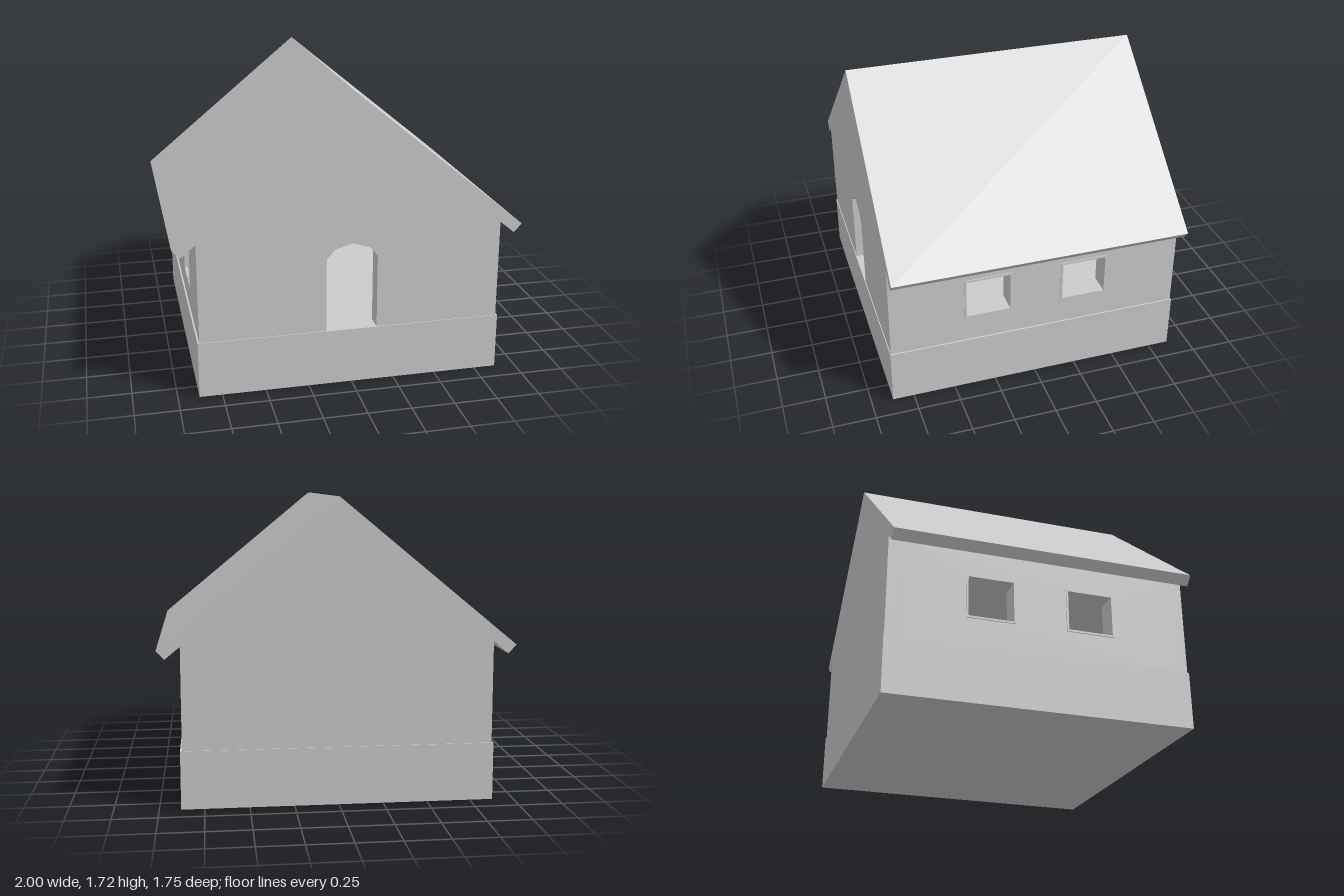
import * as THREE from 'three';

const BASE = 0.33, TOP = 0.91, HALF = 0.87;
const SIDE_T = 0.12, END_T = 0.1;

const poly = (pts, C = THREE.Shape) => new C(pts.map(([x, y]) => new THREE.Vector2(x, y)));
const rect = (x0, y0, x1, y1, C) => poly([[x0, y0], [x1, y0], [x1, y1], [x0, y1]], C);
const extrude = (shape, depth) => new THREE.ExtrudeGeometry(shape, { depth, bevelEnabled: false });

export function createModel() {
  const house = new THREE.Group();
  house.name = 'house';
  const material = new THREE.MeshStandardMaterial({ color: 0xcccccc, flatShading: true });
  const add = (name, geometry) => {
    const mesh = new THREE.Mesh(geometry, material);
    mesh.name = name;
    house.add(mesh);
  };

  // Solid plinth, its top is the floor
  add('plinth', new THREE.BoxGeometry(1.76, BASE, 1.75).translate(0, BASE / 2, 0));

  // Front wall with the arched doorway cut from its lower edge
  const front = poly([
    [-HALF, BASE], [-0.147, BASE], [-0.147, 0.765], [-0.1, 0.82], [0, 0.85],
    [0.1, 0.82], [0.147, 0.765], [0.147, BASE], [HALF, BASE], [HALF, TOP], [-HALF, TOP],
  ]);
  add('frontWall', extrude(front, END_T).translate(0, 0, HALF - END_T));
  add('backWall', extrude(rect(-HALF, BASE, HALF, TOP), END_T).translate(0, 0, -HALF));

  // Side walls with two windows each, and slightly proud window frames
  const inner = HALF - END_T;
  const wall = rect(-inner, BASE, inner, TOP);
  const windows = [[-0.42, -0.16], [0.16, 0.42]];
  const y0 = 0.5, y1 = 0.735, f = 0.012;
  for (const [a, b] of windows) wall.holes.push(rect(a, y0, b, y1, THREE.Path));
  for (const side of [-1, 1]) {
    const label = side > 0 ? 'left' : 'right';
    add(label + 'Wall', extrude(wall, SIDE_T).rotateY(Math.PI / 2)
      .translate(side > 0 ? HALF - SIDE_T : -HALF, 0, 0));
    for (const [a, b] of windows) {
      const frame = rect(a - f, y0 - f, b + f, y1 + f);
      frame.holes.push(rect(a, y0, b, y1, THREE.Path));
      add(label + 'WindowFrame', extrude(frame, 0.006).rotateY(Math.PI / 2)
        .translate(side > 0 ? HALF : -HALF - 0.006, 0, 0));
    }
  }

  // Gable block closing the space under the roof
  add('gable', extrude(poly([[-HALF, TOP], [HALF, TOP], [0, 1.628]]), 2 * HALF).translate(0, 0, -HALF));

  // Roof slabs with square-cut eaves
  const roof = poly([[0, 1.628], [0.955, 0.84], [1, 0.89], [0, 1.715], [-1, 0.89], [-0.955, 0.84]]);
  add('roof', extrude(roof, 2 * HALF).translate(0, 0, -HALF));

  return house;
}
